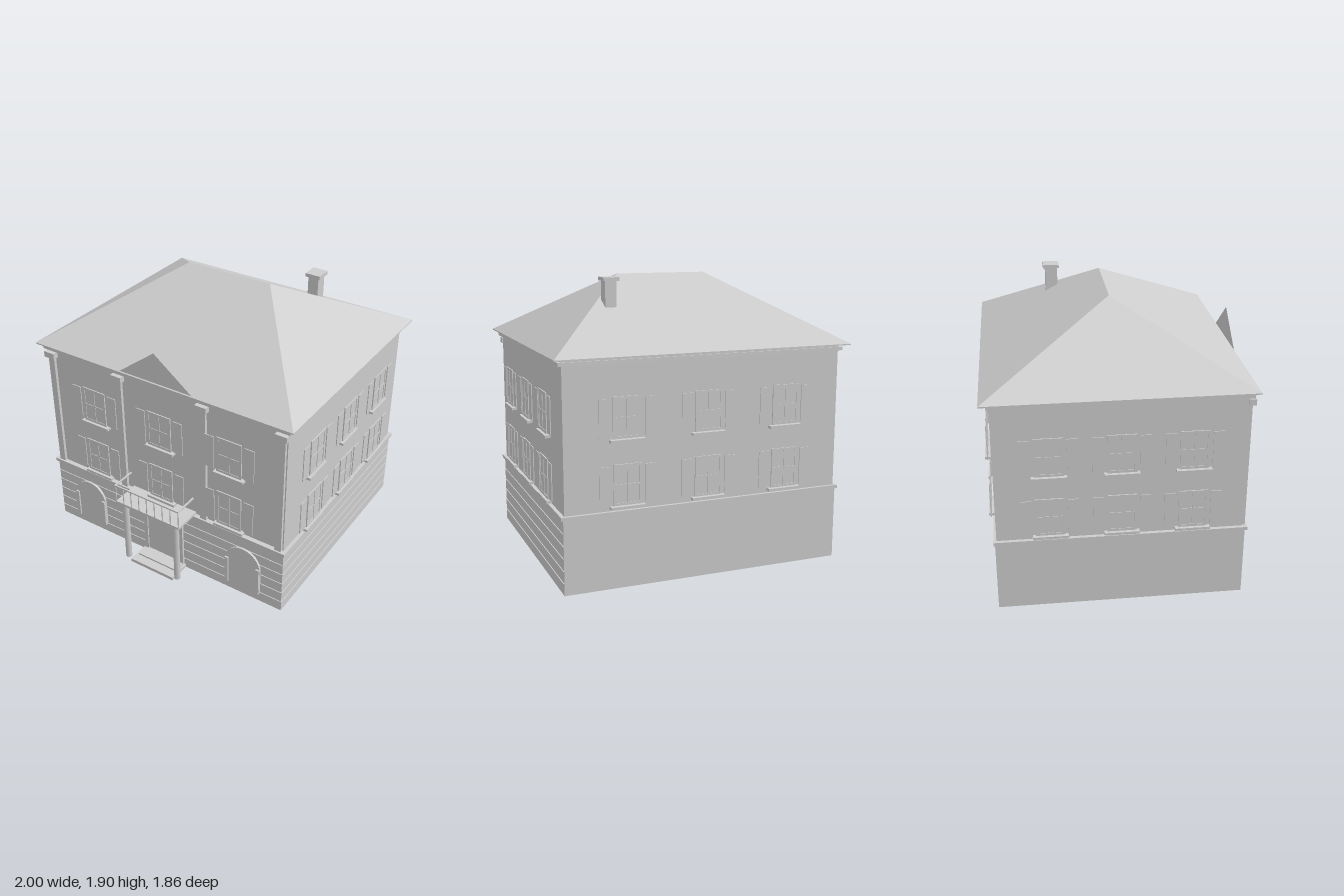
import * as THREE from 'three';

const stone = new THREE.MeshStandardMaterial({ color: 0xcccccc, side: THREE.DoubleSide });
stone.name = 'pale stone';

function add(parent, name, geometry, x = 0, y = 0, z = 0) {
  const mesh = new THREE.Mesh(geometry, stone);
  mesh.name = name;
  mesh.position.set(x, y, z);
  parent.add(mesh);
  return mesh;
}

// Box given by its lower and upper limits on each axis
function box(parent, name, x0, x1, y0, y1, z0, z1) {
  return add(parent, name, new THREE.BoxGeometry(x1 - x0, y1 - y0, z1 - z0),
    (x0 + x1) / 2, (y0 + y1) / 2, (z0 + z1) / 2);
}

// Hipped roof with a flat underside and a short ridge
function roofGeometry() {
  const e = 1.468, t = 1.905, rz = -0.078;
  const a = [-1, e, 0.78], b = [1, e, 0.78], c = [1, e, -0.93], d = [-1, e, -0.93];
  const l = [-0.32, t, rz], r = [0.32, t, rz];
  const tris = [a, b, r, a, r, l, b, c, r, c, d, l, c, l, r, d, a, l];
  const g = new THREE.BufferGeometry();
  g.setAttribute('position', new THREE.Float32BufferAttribute(tris.flat(), 3));
  g.computeVertexNormals();
  return g;
}

// Sash window facing +z, with its centre at the origin
function makeWindow() {
  const w = new THREE.Group();
  w.name = 'window';
  const W = 0.093, H = 0.13, f = 0.016;
  box(w, 'windowPane', -W + f, W - f, -H + f, H - f, -0.003, 0);
  for (const s of [-1, 1]) {
    const sx = s * (W - f / 2), sy = s * (H - f / 2);
    box(w, 'windowFrame', sx - f / 2, sx + f / 2, -H, H, -0.004, 0.004);
    box(w, 'windowFrame', -W + f, W - f, sy - f / 2, sy + f / 2, -0.004, 0.004);
    box(w, 'shutter', s * 0.149 - 0.035, s * 0.149 + 0.035, -0.12, 0.12, -0.003, 0.003);
  }
  box(w, 'verticalGlazingBar', -0.005, 0.005, -H + f, H - f, 0, 0.004);
  box(w, 'horizontalGlazingBar', -W + f, W - f, -0.005, 0.005, 0, 0.004);
  box(w, 'windowSill', -0.113, 0.113, -0.152, -0.135, -0.018, 0.018);
  return w;
}

// Arched panel outline standing on the origin
function archShape(half, spring) {
  const s = new THREE.Shape();
  s.moveTo(-half, 0);
  s.lineTo(half, 0);
  s.lineTo(half, spring);
  s.absarc(0, spring, half, 0, Math.PI, false);
  s.closePath();
  return s;
}

export function createModel() {
  const house = new THREE.Group();
  house.name = 'house';

  // Walls, string course, cornice and roof
  box(house, 'groundFloor', -0.95, 0.95, 0, 0.485, -0.88, 0.74);
  box(house, 'upperWalls', -0.94, 0.94, 0.485, 1.46, -0.87, 0.722);
  box(house, 'stringCourse', -0.965, 0.965, 0.483, 0.505, -0.89, 0.755);
  box(house, 'lowerCornice', -0.965, 0.965, 1.422, 1.445, -0.885, 0.75);
  box(house, 'upperCornice', -0.945, 0.945, 1.445, 1.46, -0.875, 0.73);
  box(house, 'eaves', -1, 1, 1.46, 1.468, -0.93, 0.78);
  add(house, 'roof', roofGeometry());

  // Flat gable standing on the front eaves
  const gable = new THREE.Shape([
    new THREE.Vector2(-0.28, 1.475), new THREE.Vector2(0.28, 1.475), new THREE.Vector2(0, 1.688)]);
  add(house, 'frontGable', new THREE.ShapeGeometry(gable), 0, 0, 0.775);

  // Chimney
  box(house, 'chimney', 0.45, 0.525, 1.6, 1.885, -0.45, -0.365);
  box(house, 'chimneyCap', 0.433, 0.54, 1.882, 1.905, -0.466, -0.353);

  // Fine horizontal courses on the ground floor, front and right
  for (let i = 1; i <= 5; i++) {
    const y = i * 0.08;
    const front = add(house, 'frontCourse', new THREE.PlaneGeometry(1.9, 0.006), 0, y, 0.743);
    front.rotation.x = -Math.PI / 2;
    const side = add(house, 'sideCourse', new THREE.PlaneGeometry(0.006, 1.62), 0.953, y, -0.07);
    side.rotation.x = -Math.PI / 2;
  }

  // Two rows of three windows on each side
  for (const y of [0.675, 1.095]) {
    for (const k of [-1, 0, 1]) {
      const places = [
        [k * 0.542, 0.752, 0], [k * 0.542, -0.9, Math.PI],
        [0.97, -0.07 + k * 0.455, Math.PI / 2], [-0.97, -0.07 + k * 0.455, -Math.PI / 2]];
      for (const [x, z, turn] of places) {
        const w = makeWindow();
        w.position.set(x, y, z);
        w.rotation.y = turn;
        house.add(w);
      }
    }
  }

  // Front pilasters with capitals
  for (const x of [-0.908, -0.333, 0.333, 0.908]) {
    box(house, 'pilaster', x - 0.024, x + 0.024, 0.505, 1.37, 0.715, 0.743);
    box(house, 'pilasterCapital', x - 0.042, x + 0.042, 1.367, 1.408, 0.715, 0.763);
  }

  // Arched panels beside the door
  for (const s of [-1, 1]) {
    const x = s * 0.653;
    const arch = new THREE.ExtrudeGeometry(archShape(0.134, 0.195),
      { depth: 0.016, bevelEnabled: false, curveSegments: 8 });
    add(house, 'archedPanel', arch, x, 0.075, 0.74);
    for (const j of [-1, 1]) {
      const jx = x + j * 0.12;
      box(house, 'archJamb', jx - 0.013, jx + 0.013, 0.075, 0.285, 0.74, 0.768);
    }
    const crest = new THREE.Shape();
    crest.moveTo(-0.05, 0);
    crest.lineTo(0.05, 0);
    crest.quadraticCurveTo(0, 0.026, -0.05, 0);
    add(house, 'archCrest', new THREE.ShapeGeometry(crest, 6), x, 0.37, 0.76);
  }

  // Door, its surround and the steps
  box(house, 'door', -0.135, 0.135, 0.03, 0.365, 0.735, 0.747);
  for (const s of [-1, 1]) {
    box(house, 'doorJamb', s * 0.15 - 0.015, s * 0.15 + 0.015, 0.03, 0.365, 0.735, 0.757);
  }
  box(house, 'doorLintel', -0.165, 0.165, 0.365, 0.385, 0.735, 0.757);
  box(house, 'lowerStep', -0.18, 0.18, 0, 0.024, 0.74, 0.905);
  box(house, 'upperStep', -0.16, 0.16, 0.024, 0.036, 0.74, 0.84);

  // Balcony on two posts
  box(house, 'balconySlab', -0.235, 0.235, 0.5, 0.505, 0.74, 0.92);
  box(house, 'balconyFloor', -0.263, 0.263, 0.505, 0.522, 0.72, 0.925);
  for (const s of [-1, 1]) {
    add(house, 'balconyPost', new THREE.CylinderGeometry(0.022, 0.022, 0.475, 12),
      s * 0.211, 0.2675, 0.888);
    box(house, 'sideHandrail', s * 0.26 - 0.005, s * 0.26 + 0.005, 0.65, 0.66, 0.75, 0.93);
  }
  box(house, 'frontHandrail', -0.265, 0.265, 0.65, 0.66, 0.92, 0.93);
  for (let i = -4; i <= 4; i++) {
    const x = i * 0.065;
    box(house, 'baluster', x - 0.003, x + 0.003, 0.522, 0.65, 0.92, 0.926);
  }
  return house;
}
